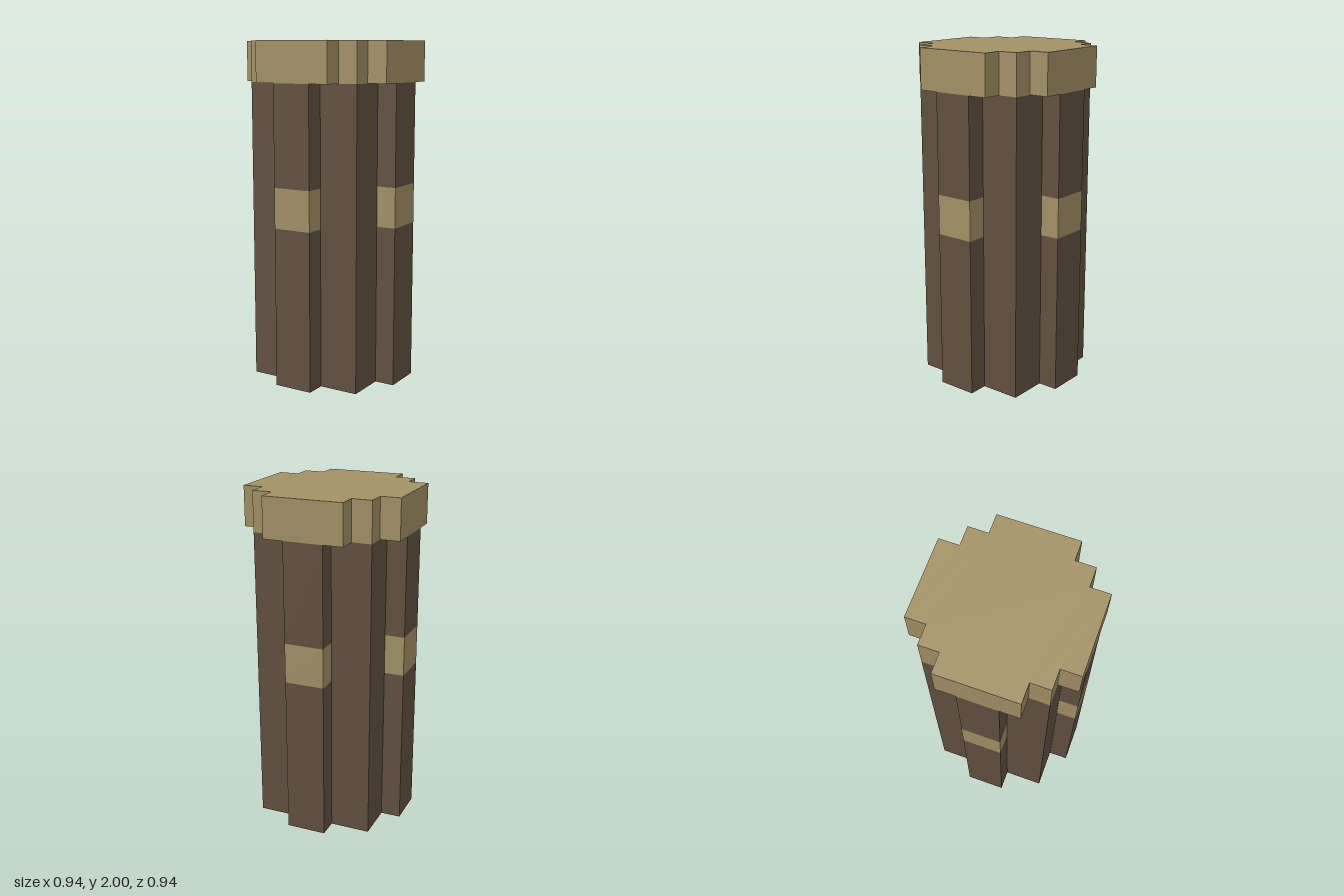
import * as THREE from 'three';

const U = 2 / 17; // block unit: the model is 17 units tall

const bark = new THREE.MeshStandardMaterial({ color: 0x625140 });
bark.name = 'dark bark';
const wood = new THREE.MeshStandardMaterial({ color: 0xa39267 });
wood.name = 'pale wood';

// Box given in block units, standing on height y
function block(name, material, w, h, d, x, y, z) {
  const mesh = new THREE.Mesh(new THREE.BoxGeometry(w * U, h * U, d * U), material);
  mesh.position.set(x * U, (y + h / 2) * U, z * U);
  mesh.name = name;
  return mesh;
}

// Stepped round slab on top of the post
function makeCap() {
  const quarter = [[4, 2], [3, 2], [3, 3], [2, 3], [2, 4]];
  const points = [];
  for (let q = 0; q < 4; q++) {
    for (const [x, y] of quarter) {
      const p = new THREE.Vector2(x * U, y * U);
      points.push(p.rotateAround(new THREE.Vector2(), q * Math.PI / 2));
    }
  }
  const geometry = new THREE.ExtrudeGeometry(new THREE.Shape(points), { depth: 2 * U, bevelEnabled: false });
  geometry.rotateX(-Math.PI / 2);
  const cap = new THREE.Mesh(geometry, wood);
  cap.position.y = 15 * U;
  cap.name = 'cap';
  return cap;
}

export function createModel() {
  const model = new THREE.Group();
  model.name = 'post';

  // Square trunk
  model.add(block('trunk', bark, 6, 15, 6, 0, 0, 0));

  // A rib on each side, with a pale band part way up
  ['front', 'left', 'back', 'right'].forEach((side, i) => {
    const rib = new THREE.Group();
    rib.name = side + 'Rib';
    rib.add(
      block('lowerRib', bark, 2, 8, 1, 0, 0, 3.5),
      block('ribBand', wood, 2, 2, 1, 0, 8, 3.5),
      block('upperRib', bark, 2, 5, 1, 0, 10, 3.5)
    );
    rib.rotation.y = i * Math.PI / 2;
    model.add(rib);
  });

  model.add(makeCap());
  return model;
}
